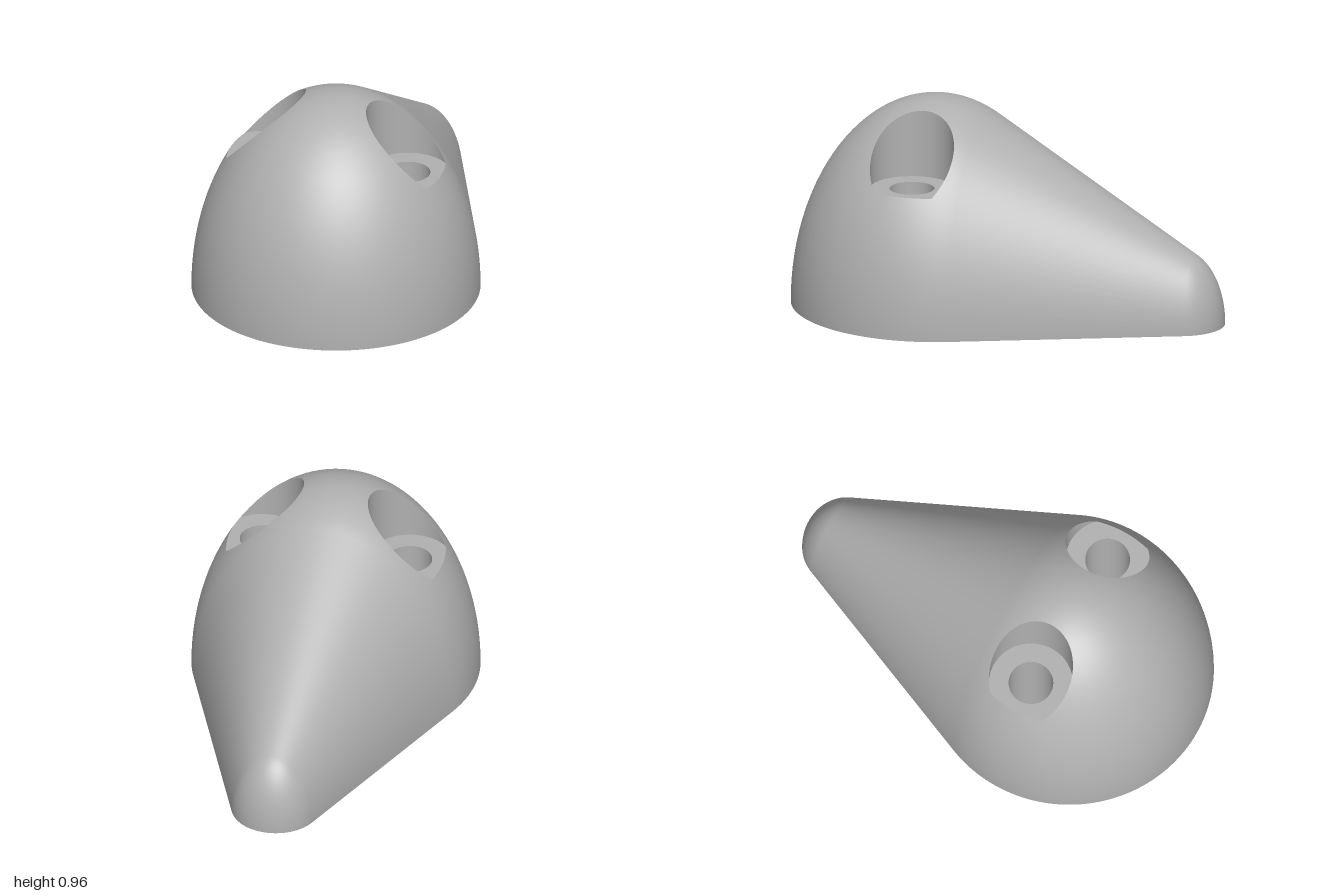
import * as THREE from 'three';

// Big front dome and small tail dome (half ellipsoids), joined by a tangent skin
const BIG = { r: 0.647, h: 0.956, z: 0.353 };
const TAIL = { r: 0.2, h: 0.34, z: -0.8 };
// Counterbored screw holes
const BORE = { x: 0.34, r: 0.188, floor: 0.622, hole: 0.1 };

const grey = new THREE.MeshStandardMaterial({ color: 0xb0b0b0 });
grey.name = 'grey';

// Point of a half ellipsoid whose outward normal is n
function support(e, n) {
  const len = Math.hypot(e.r * n[0], e.h * n[1], e.r * n[2]);
  return [e.r * e.r * n[0] / len, e.h * e.h * n[1] / len, e.z + e.r * e.r * n[2] / len];
}

// Unit normal at angle phi around the long axis, leaning back by angle a
const lean = (phi, a) => [Math.cos(phi) * Math.cos(a), Math.sin(phi) * Math.cos(a), -Math.sin(a)];

// Lean angle of the plane that touches both domes at angle phi
function tangentLean(phi) {
  let lo = 0, hi = Math.PI / 2;
  for (let i = 0; i < 50; i++) {
    const a = (lo + hi) / 2, n = lean(phi, a);
    const reach = (e) => Math.hypot(e.r * n[0], e.h * n[1], e.r * n[2]) + e.z * n[2];
    if (reach(BIG) > reach(TAIL)) lo = a; else hi = a;
  }
  return (lo + hi) / 2;
}

// Smooth surface from fn(row, col) -> { p, n }; triangles are turned to follow the normals
function surface(name, rows, cols, fn) {
  const pos = [], nor = [], index = [];
  for (let i = 0; i <= rows; i++) {
    for (let j = 0; j <= cols; j++) {
      const { p, n } = fn(i, j);
      pos.push(...p);
      nor.push(...new THREE.Vector3(...n).normalize().toArray());
    }
  }
  const at = (list, k) => new THREE.Vector3().fromArray(list, k * 3);
  const tri = (a, b, c) => {
    const A = at(pos, a);
    const face = at(pos, b).sub(A).cross(at(pos, c).sub(A));
    if (face.length() < 1e-10) return;
    const out = at(nor, a).add(at(nor, b)).add(at(nor, c));
    index.push(...(face.dot(out) > 0 ? [a, b, c] : [a, c, b]));
  };
  for (let i = 0; i < rows; i++) {
    for (let j = 0; j < cols; j++) {
      const a = i * (cols + 1) + j, b = a + cols + 1;
      tri(a, b, b + 1);
      tri(a, b + 1, a + 1);
    }
  }
  const g = new THREE.BufferGeometry();
  g.setAttribute('position', new THREE.Float32BufferAttribute(pos, 3));
  g.setAttribute('normal', new THREE.Float32BufferAttribute(nor, 3));
  g.setIndex(index);
  return named(name, g);
}

function named(name, geometry) {
  const mesh = new THREE.Mesh(geometry, grey);
  mesh.name = name;
  return mesh;
}

const domeHeight = (x, z) =>
  BIG.h * Math.sqrt(Math.max(0, 1 - (x * x + (z - BIG.z) ** 2) / BIG.r ** 2));

// Plan outline [x, z] of one half of the front dome: seam, centre line, front arc
function halfOutline() {
  const pts = [];
  const seam = (phi) => {
    const p = support(BIG, lean(phi, tangentLean(phi)));
    return [p[0], p[2]];
  };
  for (let i = 0; i < 32; i++) pts.push(seam(i / 32 * Math.PI / 2));
  const top = seam(Math.PI / 2)[1], front = BIG.z + BIG.r;
  for (let i = 0; i < 32; i++) pts.push([0, top + (front - top) * i / 32]);
  const end = -tangentLean(0);
  for (let i = 0; i <= 80; i++) {
    const t = Math.PI / 2 + (end - Math.PI / 2) * i / 80;
    pts.push([BIG.r * Math.cos(t), BIG.z + BIG.r * Math.sin(t)]);
  }
  return pts;
}

// One half of the dome with its bore, side = 1 (left) or -1 (right)
function domeHalf(side) {
  const group = new THREE.Group();
  group.name = side > 0 ? 'leftDomeHalf' : 'rightDomeHalf';
  const outer = halfOutline(), cols = outer.length - 1;
  const level = BIG.r * Math.sqrt(1 - (BORE.floor / BIG.h) ** 2);
  // Bore rim, cut short where the floor breaks out through the dome
  const rays = outer.map(([x, z]) => {
    const t = Math.atan2(z - BIG.z, x - BORE.x), c = Math.cos(t), s = Math.sin(t);
    const out = -BORE.x * c + Math.sqrt(level ** 2 - (BORE.x * s) ** 2);
    return { c, s, r: Math.min(BORE.r, out) };
  });
  const ring = (j, r, y) => [side * (BORE.x + rays[j].c * r), y, BIG.z + rays[j].s * r];
  const inward = (j) => [-side * rays[j].c, 0, -rays[j].s];

  group.add(surface('domeSkin', 20, cols, (i, j) => {
    const t = 1 - (1 - i / 20) ** 2;
    const [ix, , iz] = ring(j, rays[j].r, 0);
    const x = ix + (side * outer[j][0] - ix) * t, z = iz + (outer[j][1] - iz) * t;
    const y = domeHeight(x, z);
    return { p: [x, y, z], n: [x / BIG.r ** 2, y / BIG.h ** 2, (z - BIG.z) / BIG.r ** 2] };
  }));
  group.add(surface('boreWall', 1, cols, (i, j) => {
    const [x, , z] = ring(j, rays[j].r, 0);
    return { p: [x, i ? Math.max(BORE.floor, domeHeight(x, z)) : BORE.floor, z], n: inward(j) };
  }));
  group.add(surface('boreFloor', 1, cols, (i, j) => (
    { p: ring(j, i ? rays[j].r : BORE.hole, BORE.floor), n: [0, 1, 0] })));
  group.add(surface('screwHole', 1, cols, (i, j) => (
    { p: ring(j, BORE.hole, i * BORE.floor), n: inward(j) })));
  return group;
}

// Straight tangent skin running into the rounded tail tip
function tail() {
  const rows = 17, cols = 64;
  return surface('taperedTail', rows, cols, (i, j) => {
    const phi = j / cols * Math.PI, a0 = tangentLean(phi);
    const a = a0 + (Math.PI / 2 - a0) * Math.max(0, i - 1) / (rows - 1);
    const n = lean(phi, a);
    return { p: support(i ? TAIL : BIG, n), n };
  });
}

// Flat underside with the two screw holes
function base() {
  const a0 = tangentLean(0), shape = new THREE.Shape();
  shape.absarc(0, BIG.z, BIG.r, -a0, Math.PI + a0, false);
  shape.absarc(0, TAIL.z, TAIL.r, Math.PI + a0, Math.PI * 2 - a0, false);
  for (const side of [1, -1]) {
    const hole = new THREE.Path();
    hole.absarc(side * BORE.x, BIG.z, BORE.hole, 0, Math.PI * 2, true);
    shape.holes.push(hole);
  }
  return named('base', new THREE.ShapeGeometry(shape, 64).rotateX(Math.PI / 2));
}

export function createModel() {
  const model = new THREE.Group();
  model.name = 'teardropMount';
  model.add(domeHalf(1), domeHalf(-1), tail(), base());
  return model;
}
